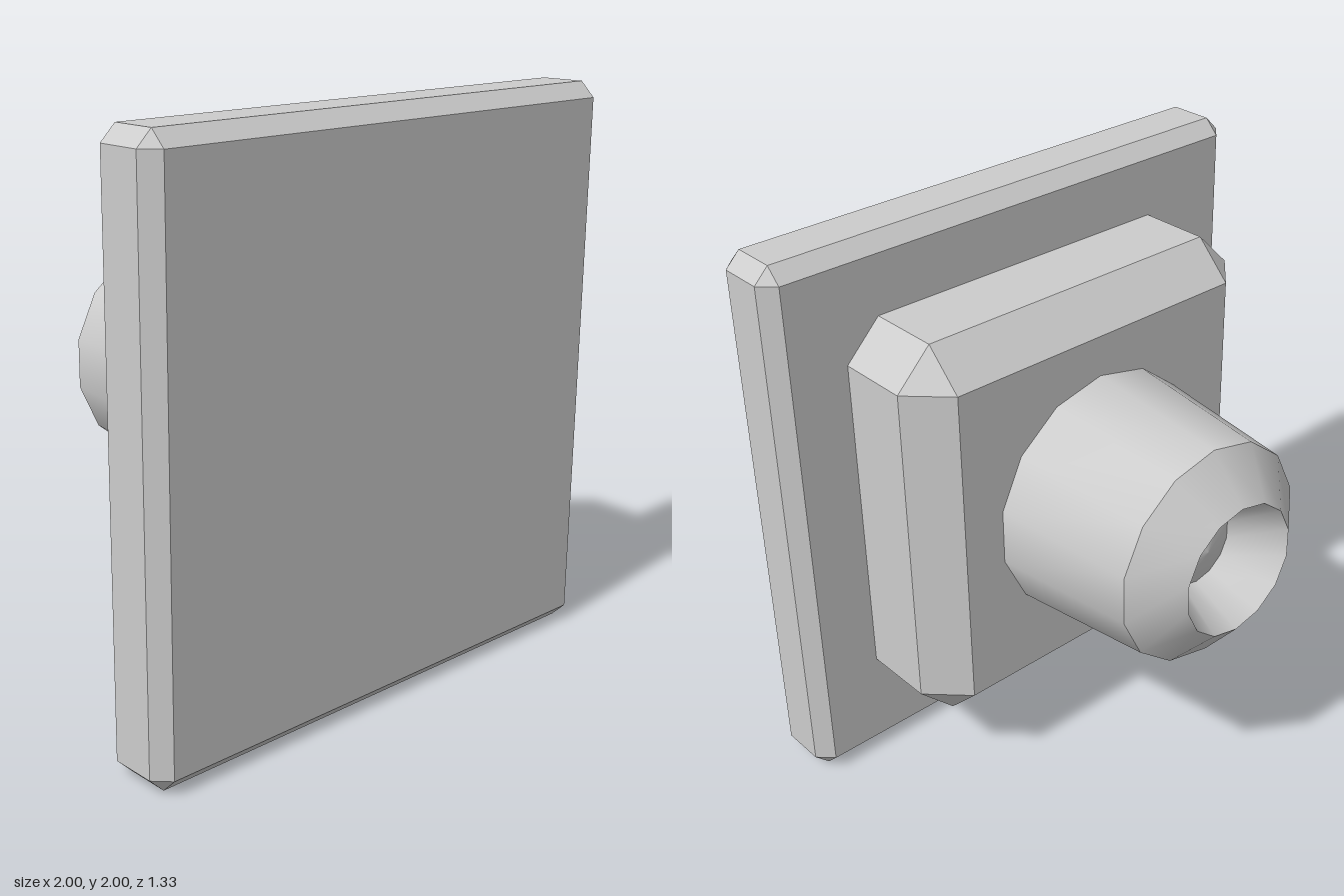
import * as THREE from 'three';
import { toCreasedNormals } from 'three/addons/utils/BufferGeometryUtils.js';
import { ConvexGeometry } from 'three/addons/geometries/ConvexGeometry.js';

// Box with every edge cut flat and a small triangle at each corner
function chamferedBox(w, h, d, c) {
  const points = [];
  for (const sx of [-1, 1]) for (const sy of [-1, 1]) for (const sz of [-1, 1]) {
    for (let axis = 0; axis < 3; axis++) {
      const p = [w / 2 - c, h / 2 - c, d / 2 - c];
      p[axis] += c;
      points.push(new THREE.Vector3(sx * p[0], sy * p[1], sz * p[2]));
    }
  }
  return new ConvexGeometry(points);
}

export function createModel() {
  const group = new THREE.Group();
  const grey = new THREE.MeshStandardMaterial({ name: 'light grey', color: 0xcccccc });

  const add = (name, geometry, z) => {
    const mesh = new THREE.Mesh(geometry, grey);
    mesh.name = name;
    mesh.position.set(0, 1, z);
    group.add(mesh);
  };

  // Square front plate
  add('frontPlate', chamferedBox(2, 2, 0.267, 0.053), 0.533);

  // Mounting block; its front chamfer sits inside the plate
  add('mountingBlock', chamferedBox(1.467, 1.467, 0.533, 0.133), 0.267);

  // Tapered nozzle pointing backwards, with a funnel mouth and a small central point
  const profile = [
    [0.453, 0], [0.4, 0.533], [0.24, 0.667],
    [0.145, 0.477], [0, 0.527],
  ].map(([r, y]) => new THREE.Vector2(r, y));
  const nozzle = new THREE.LatheGeometry(profile, 14).rotateX(-Math.PI / 2);
  add('nozzle', toCreasedNormals(nozzle, 0.6), 0);

  return group;
}
